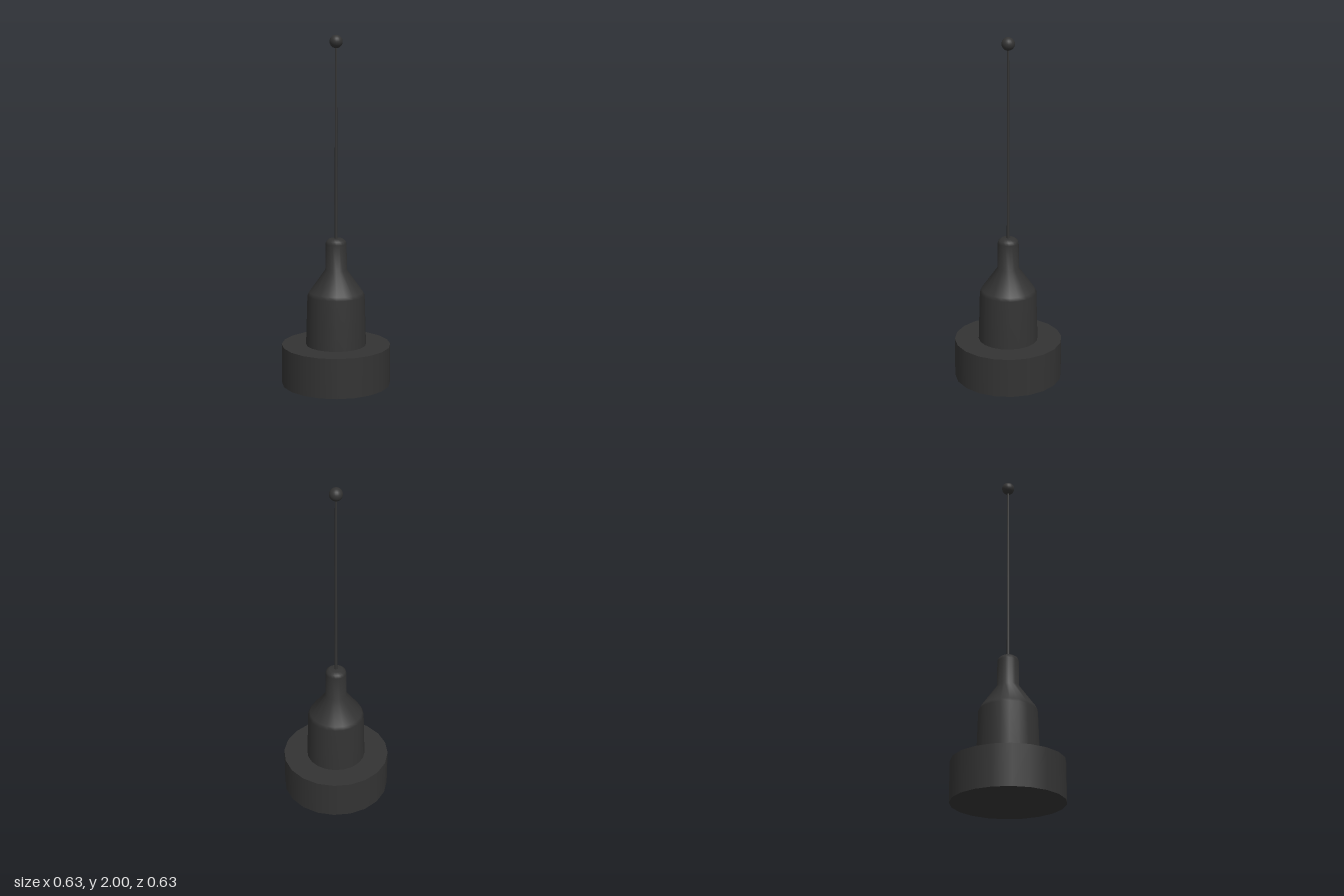
import * as THREE from 'three';

const SIDES = 20;

export function createModel() {
  const group = new THREE.Group();
  const material = new THREE.MeshStandardMaterial({ color: 0x333333 });

  const add = (name, geometry, y = 0) => {
    const mesh = new THREE.Mesh(geometry, material);
    mesh.name = name;
    mesh.position.y = y;
    group.add(mesh);
  };

  // Heavy round foot
  add('base', new THREE.CylinderGeometry(0.315, 0.315, 0.23, SIDES), 0.115);

  // Tapered housing, sloping shoulder and neck with a bevelled tip
  const profile = [
    [0.174, 0.23], [0.165, 0.52], [0.155, 0.54], [0.062, 0.67],
    [0.061, 0.82], [0.055, 0.837], [0.038, 0.85], [0, 0.85],
  ].map(([r, y]) => new THREE.Vector2(r, y));
  add('body', new THREE.LatheGeometry(profile, SIDES));

  // Thin whip, slightly tapered
  add('rod', new THREE.CylinderGeometry(0.006, 0.0085, 1.1, 10), 1.39);

  // Ball at the tip
  add('tipBall', new THREE.SphereGeometry(0.037, 20, 14), 1.963);

  return group;
}
